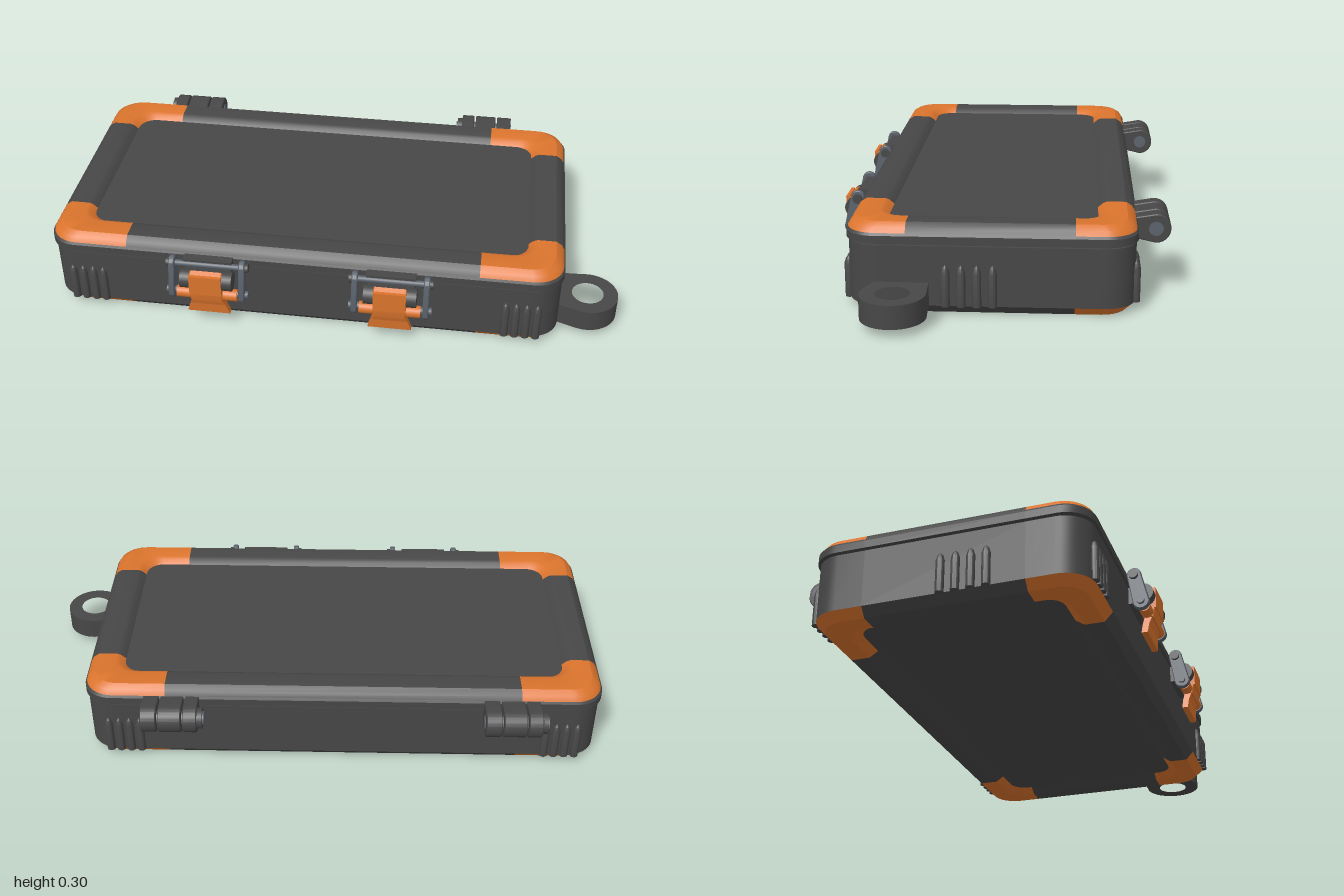
import * as THREE from 'three';
import { toCreasedNormals } from 'three/addons/utils/BufferGeometryUtils.js';

const mat = (name, color) => Object.assign(new THREE.MeshStandardMaterial({ color }), { name });

// Case footprint: centre, half sizes and where the corner guards end
const CX = -0.094, CZ = 0.014, HX = 0.893, HZ = 0.464, CUTX = 0.61, CUTZ = 0.267;
const SIGNS = [[1, 1], [-1, 1], [-1, -1], [1, -1]];

// One rounded corner of the footprint, including the straight runs to the cuts
function cornerPoints(q, inset, y, r) {
  const [sx, sz] = SIGNS[q], hx = HX - inset, hz = HZ - inset;
  const xEnd = [sx * hx, y, sz * CUTZ], zEnd = [sx * CUTX, y, sz * hz];
  const pts = [q % 2 ? zEnd : xEnd];
  for (let i = 0; i <= 10; i++) {
    const a = (q + i / 10) * Math.PI / 2;
    pts.push([sx * (hx - r) + r * Math.cos(a), y, sz * (hz - r) + r * Math.sin(a)]);
  }
  pts.push(q % 2 ? xEnd : zEnd);
  return pts;
}

// Skin between rows of points
function skin(rows) {
  const pos = [];
  for (let j = 0; j + 1 < rows.length; j++) {
    for (let i = 0; i + 1 < rows[j].length; i++) {
      const a = rows[j][i], b = rows[j][i + 1], c = rows[j + 1][i], d = rows[j + 1][i + 1];
      pos.push(...a, ...c, ...b, ...b, ...c, ...d);
    }
  }
  const g = new THREE.BufferGeometry();
  g.setAttribute('position', new THREE.Float32BufferAttribute(pos, 3));
  return toCreasedNormals(g, 0.5);
}

// Extrude a (z, y) outline along x, centred
function extrudeX(shape, width, bevel = 0) {
  const g = new THREE.ExtrudeGeometry(shape, {
    depth: width - 2 * bevel, curveSegments: 14, bevelEnabled: bevel > 0,
    bevelSize: bevel, bevelThickness: bevel, bevelSegments: 1,
  });
  g.translate(0, 0, -width / 2 + bevel).rotateY(-Math.PI / 2);
  return toCreasedNormals(g, 0.5);
}

const poly = (pts) => new THREE.Shape(pts.map(([z, y]) => new THREE.Vector2(z, y)));
const rod = (r, len) => new THREE.CylinderGeometry(r, r, len, 24).rotateZ(Math.PI / 2);

export function createModel() {
  const dark = mat('charcoal plastic', 0x474747);
  const orange = mat('orange plastic', 0xdb742d);
  const steel = mat('blue grey metal', 0x5c636c);
  const model = new THREE.Group();
  model.name = 'hardCase';

  const add = (parent, name, geo, material, x = 0, y = 0, z = 0) => {
    const m = new THREE.Mesh(geo, material);
    m.name = name;
    m.position.set(x, y, z);
    parent.add(m);
    return m;
  };

  const shell = new THREE.Group();
  shell.name = 'shell';
  shell.position.set(CX, 0, CZ);
  model.add(shell);

  // Sweep a profile of [inset, y, radius] around the case
  const sweep = (name, profile, cornerMat) => {
    for (let q = 0; q < 4; q++) {
      const rows = profile.map((p) => cornerPoints(q, ...p));
      const next = profile.map((p) => cornerPoints((q + 1) % 4, ...p));
      add(shell, name + 'Corner', skin(rows), cornerMat);
      add(shell, name + 'Side', skin(rows.map((r, j) => [r[r.length - 1], next[j][0]])), dark);
    }
  };
  sweep('bottomRim', [[0.125, 0.02, 0.06], [0.095, 0, 0.075], [0.03, 0, 0.085], [0.003, 0.03, 0.1]], orange);
  sweep('wall', [[0.003, 0.03, 0.1], [0.003, 0.229, 0.1], [0.014, 0.229, 0.09], [0.014, 0.236, 0.09],
    [-0.003, 0.236, 0.1], [-0.003, 0.262, 0.1], [0.002, 0.27, 0.1]], dark);
  sweep('topRim', [[0.002, 0.27, 0.1], [0.012, 0.287, 0.095], [0.032, 0.3, 0.085], [0.095, 0.3, 0.075],
    [0.108, 0.295, 0.07], [0.125, 0.28, 0.06]], orange);

  // Recessed panels, top and bottom faces of one core
  const outline = [0, 1, 2, 3].flatMap((q) => cornerPoints(q, 0.122, 0, 0.06));
  const core = new THREE.ExtrudeGeometry(
    new THREE.Shape(outline.map(([x, , z]) => new THREE.Vector2(x, -z))), { depth: 0.26, bevelEnabled: false });
  add(shell, 'recessedPanels', core.rotateX(-Math.PI / 2), dark, 0, 0.02, 0);

  // Pointed grip ribs
  const ribGeo = toCreasedNormals(new THREE.LatheGeometry(
    [[0, 0], [0.0145, 0], [0.0145, 0.112], [0.009, 0.13], [0, 0.139]].map((p) => new THREE.Vector2(...p)), 14), 0.6);
  for (let i = 0; i < 4; i++) {
    for (const s of [-1, 1]) {
      add(model, 'sideRib', ribGeo, dark, CX + s * 0.891, 0.03, 0.007 + i * 0.05);
      for (const x of [-0.907, 0.612]) {
        add(model, 'endRib', ribGeo, dark, x + i * 0.036, 0.03, CZ + s * 0.461);
      }
    }
  }

  // Lanyard loop on the left side
  const loop = new THREE.Shape();
  loop.moveTo(0.78, -0.21);
  loop.lineTo(0.88, -0.206);
  loop.absarc(0.895, -0.31, 0.105, Math.PI * 0.53, -Math.PI * 0.6, true);
  loop.lineTo(0.78, -0.38);
  loop.closePath();
  loop.holes.push(new THREE.Path().absarc(0.895, -0.31, 0.055, 0, Math.PI * 2, true));
  const loopGeo = new THREE.ExtrudeGeometry(loop, { depth: 0.078, bevelEnabled: false, curveSegments: 32 });
  add(model, 'lanyardLoop', toCreasedNormals(loopGeo.rotateX(-Math.PI / 2), 0.5), dark, 0, 0.03, 0);

  // Rear hinges
  const knuckle = new THREE.Shape();
  knuckle.moveTo(-0.44, 0.265);
  knuckle.lineTo(-0.515, 0.278);
  knuckle.absarc(-0.515, 0.232, 0.046, Math.PI / 2, Math.PI * 1.5, false);
  knuckle.lineTo(-0.44, 0.203);
  for (const dx of [0, 1.165]) {
    const hinge = new THREE.Group();
    hinge.name = 'hinge';
    hinge.position.x = dx;
    model.add(hinge);
    for (const [a, b] of [[-0.767, -0.72], [-0.714, -0.636], [-0.63, -0.576]]) {
      add(hinge, 'hingeKnuckle', extrudeX(knuckle, b - a, 0.003), dark, (a + b) / 2);
    }
    add(hinge, 'hingePinHead', rod(0.036, 0.02), dark, -0.775, 0.232, -0.515);
    add(hinge, 'hingePin', rod(0.024, 0.216), steel, -0.682, 0.232, -0.515);
  }

  // Front latches
  const arm = new THREE.Shape();
  arm.absarc(0.507, 0.25, 0.021, 0, Math.PI, false);
  arm.absarc(0.528, 0.147, 0.025, Math.PI, Math.PI * 2, false);
  const armGeo = extrudeX(arm, 0.02, 0.003);
  const leverGeo = extrudeX(poly([[0.535, 0.235], [0.55, 0.225], [0.557, 0.17], [0.548, 0.125],
    [0.53, 0.125], [0.535, 0.17]]), 0.112, 0.003);
  // Flared pull tab: widen toward the lower end
  const tabGeo = extrudeX(poly([[0.522, 0.13], [0.548, 0.13], [0.538, 0.098], [0.534, 0.06],
    [0.513, 0.06], [0.516, 0.098]]), 1);
  const tp = tabGeo.attributes.position;
  for (let i = 0; i < tp.count; i++) {
    const t = (0.13 - tp.getY(i)) / 0.07;
    tp.setX(i, tp.getX(i) * (0.105 + 0.045 * t));
  }
  tabGeo.computeVertexNormals();

  for (const x of [-0.41, 0.222]) {
    const latch = new THREE.Group();
    latch.name = 'latch';
    latch.position.x = x;
    model.add(latch);
    add(latch, 'catchHook', new THREE.BoxGeometry(0.17, 0.022, 0.045), dark, 0, 0.255, 0.488);
    add(latch, 'pivotMount', new THREE.BoxGeometry(0.16, 0.06, 0.06), dark, 0, 0.2, 0.495);
    add(latch, 'pivotBarrel', rod(0.034, 0.18), dark, 0, 0.2, 0.527);
    add(latch, 'topCrossbar', rod(0.011, 0.27), steel, 0, 0.247, 0.507);
    add(latch, 'lowerPin', rod(0.013, 0.285), steel, 0, 0.147, 0.528);
    add(latch, 'leverSleeve', rod(0.021, 0.21), orange, 0, 0.143, 0.531);
    add(latch, 'lever', leverGeo, orange);
    add(latch, 'leverSpan', new THREE.BoxGeometry(0.112, 0.075, 0.012), orange, 0, 0.195, 0.556);
    add(latch, 'pullTab', tabGeo, orange);
    for (const s of [-1, 1]) {
      add(latch, 'linkArm', armGeo, steel, s * 0.122);
      add(latch, 'armBoss', rod(0.016, 0.03), dark, s * 0.128, 0.247, 0.507);
    }
  }
  return model;
}
